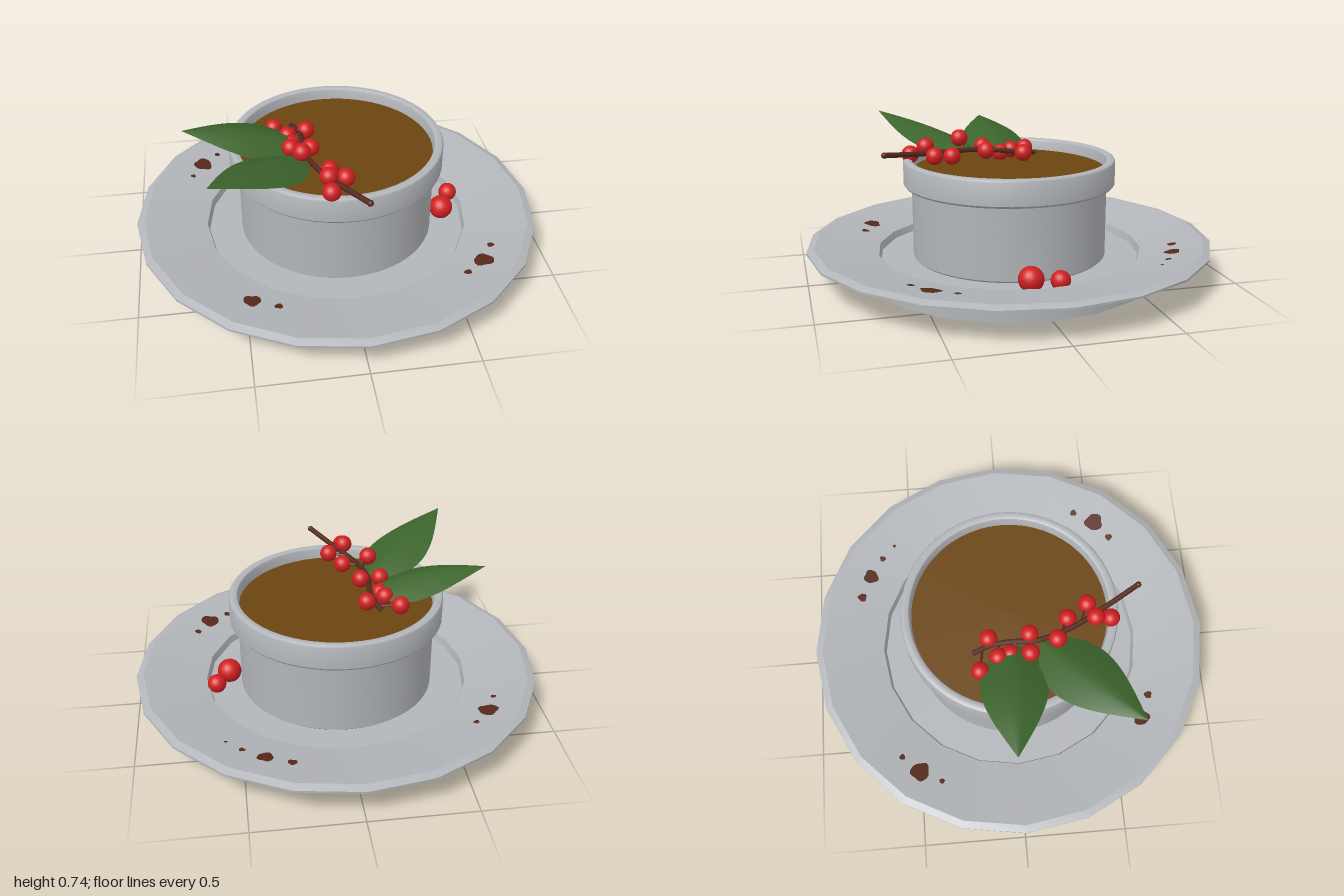
import * as THREE from 'three';
import { toCreasedNormals } from 'three/addons/utils/BufferGeometryUtils.js';

const material = (name, color, side = THREE.FrontSide) => {
  const m = new THREE.MeshStandardMaterial({ color, side });
  m.name = name;
  return m;
};

const V = (x, y, z) => new THREE.Vector3(x, y, z);

function lathe(profile, sides, crease) {
  const points = profile.map(([r, y]) => new THREE.Vector2(r, y));
  return toCreasedNormals(new THREE.LatheGeometry(points, sides), crease);
}

// Height of the sloping, 20-sided plate border at a given spot
function borderHeight(x, z) {
  const step = Math.PI / 10;
  const angle = Math.atan2(x, z) + Math.PI * 2;
  const fromMiddle = (angle % step) - step / 2;
  const r = Math.hypot(x, z) * Math.cos(fromMiddle) / Math.cos(step / 2);
  return 0.125 + (r - 0.655) * (0.178 - 0.125) / (0.965 - 0.655);
}

// Irregular sauce drop draped over the plate border
function dropGeometry(cx, cz, radius) {
  const g = new THREE.CircleGeometry(radius, 18);
  g.rotateX(-Math.PI / 2);
  const p = g.attributes.position;
  for (let i = 0; i < p.count; i++) {
    const a = Math.atan2(p.getZ(i), p.getX(i));
    const k = 1 + 0.1 * Math.sin(3 * a + cx * 20) + 0.06 * Math.sin(5 * a + cz * 30);
    const x = cx + p.getX(i) * k, z = cz + p.getZ(i) * k;
    p.setXYZ(i, x, borderHeight(x, z) + 0.004, z);
  }
  g.computeVertexNormals();
  return g;
}

// Pointed leaf, arched along its length and drooping from the midrib
function leafGeometry(base, tip, halfWidth, arch, droop) {
  const g = new THREE.PlaneGeometry(1, 2, 20, 8);
  const p = g.attributes.position;
  const across = V(tip.x - base.x, 0, tip.z - base.z).normalize().cross(V(0, 1, 0));
  for (let i = 0; i < p.count; i++) {
    const u = p.getX(i) + 0.5, v = p.getY(i);
    const bulge = Math.max(0, Math.sin(Math.PI * Math.pow(u, 0.7)));
    const q = base.clone().lerp(tip, u).addScaledVector(across, -v * halfWidth * bulge);
    q.y += arch * Math.sin(Math.PI * u) - droop * bulge * Math.pow(Math.abs(v), 1.3);
    p.setXYZ(i, q.x, q.y, q.z);
  }
  g.computeVertexNormals();
  return g;
}

export function createModel() {
  const model = new THREE.Group();
  const china = material('grey china', 0xb2b5b9);
  const custardBrown = material('custard brown', 0x6b4510);
  const berryRed = material('berry red', 0xd01f20);
  const leafGreen = material('leaf green', 0x3c642c, THREE.DoubleSide);
  const stemBrown = material('stem brown', 0x54291c);
  const sauceBrown = material('sauce brown', 0x57291b, THREE.DoubleSide);

  const add = (name, geometry, mat, parent = model) => {
    const mesh = new THREE.Mesh(geometry, mat);
    mesh.name = name;
    parent.add(mesh);
    return mesh;
  };
  const group = (name) => {
    const g = new THREE.Group();
    g.name = name;
    model.add(g);
    return g;
  };

  // Faceted plate with a hollow foot and a sunken well
  add('plate', lathe([
    [0, 0.06], [0.49, 0.06], [0.49, 0], [0.73, 0], [0.73, 0.065], [1, 0.155],
    [1, 0.165], [0.965, 0.178], [0.655, 0.125], [0.645, 0.09], [0, 0.09],
  ], 20, 0.33), china);

  // Round dish with a thick lip
  add('dish', lathe([
    [0, 0.091], [0.47, 0.091], [0.48, 0.1], [0.48, 0.452], [0.512, 0.452], [0.52, 0.462],
    [0.52, 0.57], [0.516, 0.578], [0.507, 0.583], [0.488, 0.583], [0.479, 0.578],
    [0.475, 0.568], [0.47, 0.5], [0, 0.5],
  ], 56, 0.6), china);

  // Custard filling
  const custard = add('custard', new THREE.CircleGeometry(0.472, 56), custardBrown);
  custard.rotation.x = -Math.PI / 2;
  custard.position.y = 0.525;

  // Leaves
  const leaves = group('leaves');
  add('sideLeaf', leafGeometry(V(-0.17, 0.575, 0), V(-0.735, 0.672, -0.02), 0.16, 0.035, 0.055),
    leafGreen, leaves);
  add('frontLeaf', leafGeometry(V(-0.18, 0.585, 0.14), V(-0.63, 0.737, 0.56), 0.155, 0.02, 0.05),
    leafGreen, leaves);

  // Main stem
  const sprig = group('berrySprig');
  const stemCurve = new THREE.CatmullRomCurve3([
    V(-0.2, 0.555, -0.19), V(-0.17, 0.565, -0.1), V(-0.165, 0.58, 0), V(-0.172, 0.59, 0.11),
    V(-0.13, 0.595, 0.27), V(-0.05, 0.607, 0.43), V(0.055, 0.63, 0.62),
  ]);
  add('stem', new THREE.TubeGeometry(stemCurve, 40, 0.013, 8), stemBrown, sprig);
  const stemEnd = add('stemEnd', new THREE.SphereGeometry(0.015, 10, 8), stemBrown, sprig);
  stemEnd.position.set(0.055, 0.63, 0.62);

  // Berries, each joined to the stem by a short twig
  const berryGeometry = new THREE.SphereGeometry(0.043, 20, 14);
  [
    [-0.29, 0.565, -0.16, 0.06], [-0.135, 0.568, -0.11, 0.1], [-0.23, 0.57, -0.07, 0.15],
    [-0.215, 0.56, -0.01, 0.25], [-0.23, 0.595, 0.082, 0.3], [-0.135, 0.59, 0.085, 0.3],
    [-0.19, 0.65, 0.21, 0.45], [-0.07, 0.583, 0.272, 0.5], [-0.01, 0.6, 0.37, 0.62],
    [-0.092, 0.635, 0.4, 0.65], [-0.09, 0.6, 0.475, 0.72],
  ].forEach(([x, y, z, t]) => {
    const centre = V(x, y, z);
    add('berry', berryGeometry, berryRed, sprig).position.copy(centre);
    const twig = new THREE.LineCurve3(stemCurve.getPointAt(t), centre);
    add('twig', new THREE.TubeGeometry(twig, 1, 0.007, 6), stemBrown, sprig);
  });

  // Two loose berries on the plate
  const loose = group('looseBerries');
  [[0.54, 0.132, 0.043, 0.06], [0.605, 0.138, -0.075, 0.046]].forEach(([x, y, z, r]) => {
    add('looseBerry', new THREE.SphereGeometry(r, 20, 14), berryRed, loose).position.set(x, y, z);
  });

  // Sauce drops
  const drops = group('sauceDrops');
  [
    [0.29, -0.755, 0.022], [0.405, -0.705, 0.037], [0.505, -0.64, 0.015], [0.575, -0.575, 0.008],
    [-0.66, -0.495, 0.046], [-0.58, -0.58, 0.014], [-0.715, -0.39, 0.013],
    [-0.475, 0.63, 0.04], [-0.36, 0.68, 0.019],
    [0.63, 0.515, 0.047], [0.695, 0.41, 0.017], [0.535, 0.585, 0.018],
  ].forEach(([x, z, r]) => add('sauceDrop', dropGeometry(x, z, r), sauceBrown, drops));

  return model;
}
